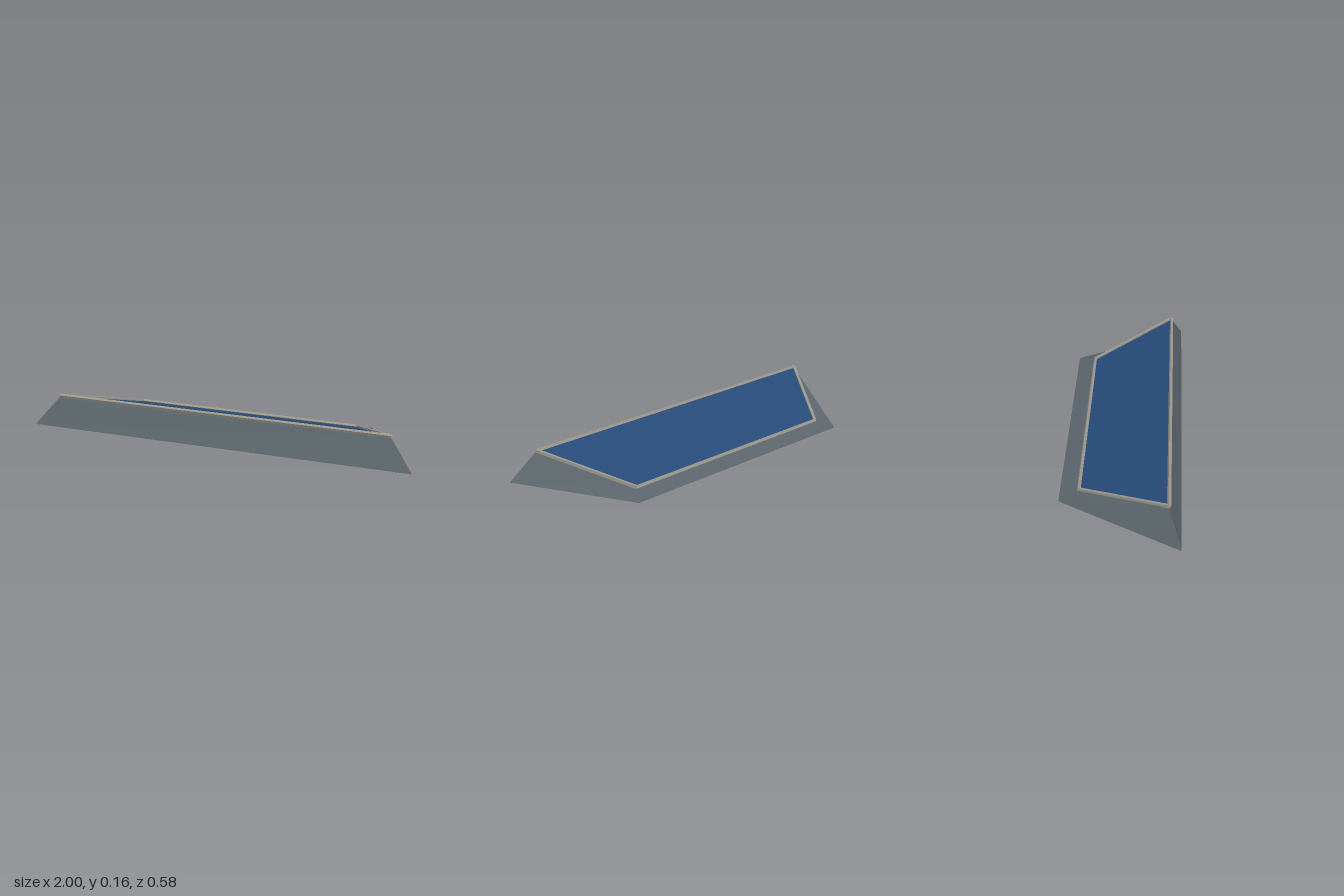
import * as THREE from 'three';

// Corner loops, counter-clockwise seen from above: front pair, then back pair
const loop = (xf, yf, zf, xb, yb, zb) => [
  new THREE.Vector3(-xf, yf, zf), new THREE.Vector3(xf, yf, zf),
  new THREE.Vector3(xb, yb, zb), new THREE.Vector3(-xb, yb, zb),
];
const base = loop(1, 0, 0.289, 0.665, 0, -0.289);
const rim = loop(0.877, 0.15, 0.229, 0.608, 0.0265, -0.197);

function quadMesh(name, quads, color) {
  const points = quads.flatMap(([a, b, c, d]) => [a, b, c, a, c, d]);
  const geometry = new THREE.BufferGeometry().setFromPoints(points);
  geometry.computeVertexNormals();
  const mesh = new THREE.Mesh(geometry, new THREE.MeshStandardMaterial({ color, side: THREE.DoubleSide }));
  mesh.name = name;
  return mesh;
}

// Square bar between two points, rolled about its length
function bar(name, a, b, roll, material) {
  const size = 0.0145;
  const mesh = new THREE.Mesh(new THREE.BoxGeometry(size, size, a.distanceTo(b) + 0.006), material);
  mesh.position.copy(a).add(b).multiplyScalar(0.5);
  mesh.lookAt(b);
  mesh.rotateZ(roll);
  mesh.name = name;
  return mesh;
}

export function createModel() {
  const group = new THREE.Group();
  group.name = 'slopedWindow';

  // Open-bottomed surround with four sloping sides
  const sides = base.map((p, i) => {
    const j = (i + 1) % 4;
    return [p, base[j], rim[j], rim[i]];
  });
  group.add(quadMesh('surround', sides, 0x5a646a));

  // Tinted pane filling the rim
  group.add(quadMesh('glassPane', [rim], 0x264a78));

  // Bars framing the pane
  const frame = new THREE.Group();
  frame.name = 'windowFrame';
  const material = new THREE.MeshStandardMaterial({ color: 0x99968c });
  const [fr, fl, bl, br] = rim.map((p) => p.clone().setY(p.y + 0.003));
  frame.add(
    bar('frontBar', fr, fl, 0.43, material),
    bar('backBar', br, bl, 0.43, material),
    bar('leftBar', bl, fl, 0, material),
    bar('rightBar', br, fr, 0, material),
  );
  group.add(frame);
  return group;
}
